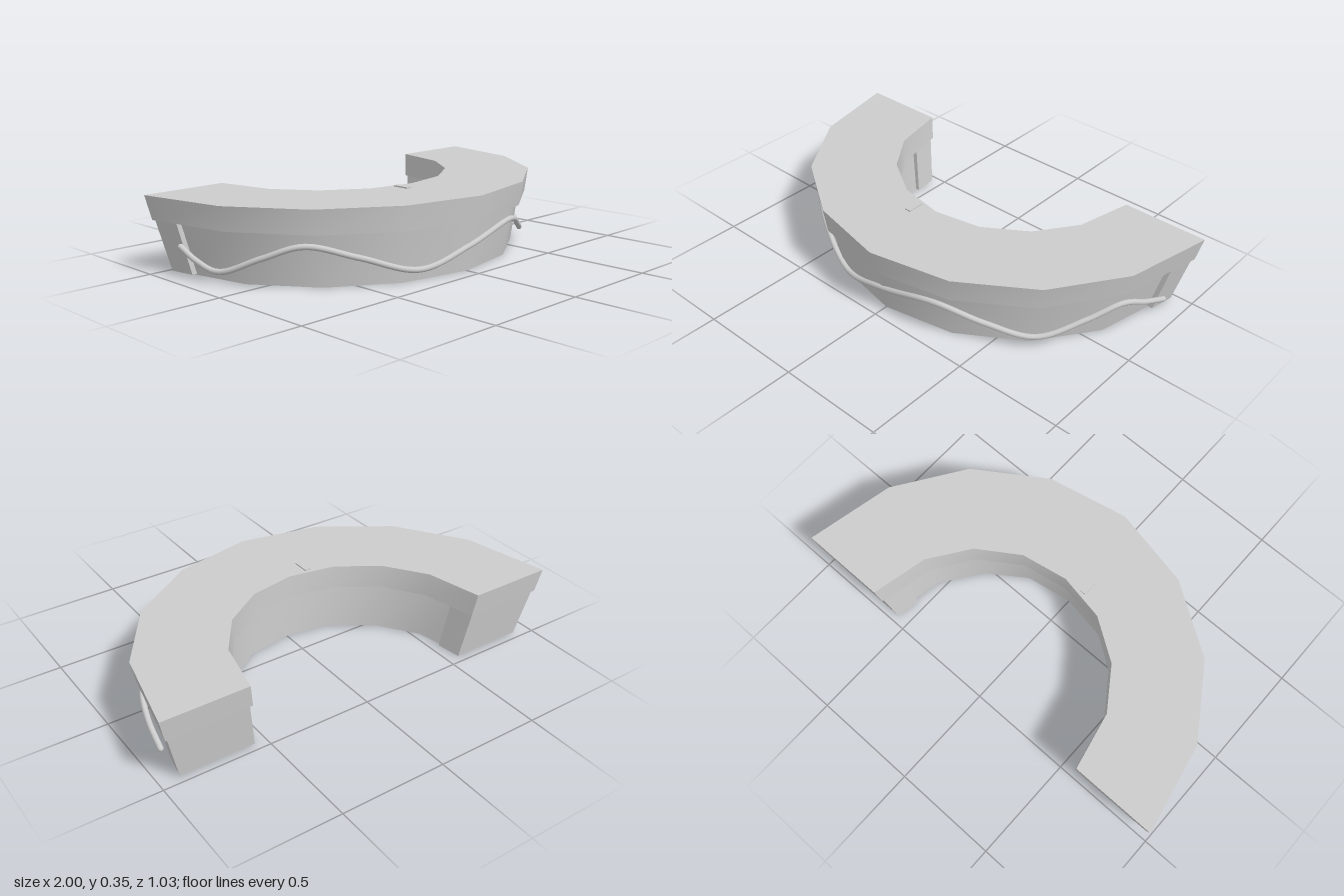
import * as THREE from 'three';
import { toCreasedNormals } from 'three/addons/utils/BufferGeometryUtils.js';

const TOP = 0.345, RIM = 0.235;

// Mirror a half outline (right end to centre) into a full path from -x to +x
function fullPath(half) {
  return [...half.map(([x, z]) => [-x, z]), ...half.slice(0, -1).reverse()];
}

// Skin a row of cross-sections; closed sections also get end caps
function loft(sections, closed) {
  const pos = [];
  const tri = (...pts) => pts.forEach((p) => pos.push(...p));
  const n = sections[0].length;
  for (let i = 0; i < sections.length - 1; i++) {
    for (let j = 0; j < (closed ? n : n - 1); j++) {
      const k = (j + 1) % n;
      const a = sections[i][j], b = sections[i + 1][j];
      const c = sections[i + 1][k], d = sections[i][k];
      tri(a, b, c);
      tri(a, c, d);
    }
  }
  if (closed) {
    const s = sections[0], e = sections[sections.length - 1];
    tri(s[0], s[1], s[2]);
    tri(s[0], s[2], s[3]);
    tri(e[0], e[2], e[1]);
    tri(e[0], e[3], e[2]);
  }
  const geo = new THREE.BufferGeometry();
  geo.setAttribute('position', new THREE.Float32BufferAttribute(pos, 3));
  return toCreasedNormals(geo, 0.7);
}

// Place a plan point at height y, scaled towards the centre axis
const at = ([x, z], y, s = 1) => [x * s, y, z * s];

// Four-cornered sections between an outer and inner path, tapering downwards
function taperedSections(outer, inner, yTop, yBottom, s) {
  return outer.map((o, i) => [
    at(o, yTop), at(inner[i], yTop), at(inner[i], yBottom, s), at(o, yBottom, s),
  ]);
}

export function createModel() {
  const group = new THREE.Group();
  const grey = new THREE.MeshStandardMaterial({ color: 0xcccccc });
  const thin = new THREE.MeshStandardMaterial({ color: 0xcccccc, side: THREE.DoubleSide });
  const add = (name, geo, mat = grey) => {
    const mesh = new THREE.Mesh(geo, mat);
    mesh.name = name;
    group.add(mesh);
    return mesh;
  };

  // Curved counter top
  const topOuter = fullPath([[1, -0.515], [0.915, -0.1], [0.7, 0.22], [0.38, 0.432], [0, 0.512]]);
  const topInner = fullPath([[0.597, -0.515], [0.54, -0.25], [0.41, -0.065], [0.22, 0.06], [0, 0.1]]);
  add('counterTop', loft(taperedSections(topOuter, topInner, TOP, RIM, 0.975), true));

  // Outer and inner walls of the hollow base, open underneath
  const wallOuter = fullPath([[0.937, -0.45], [0.86, -0.09], [0.655, 0.2], [0.355, 0.392], [0, 0.46]]);
  const wallInner = fullPath([[0.615, -0.45], [0.57, -0.23], [0.43, -0.035], [0.235, 0.1], [0, 0.14]]);
  add('outerWall', loft(wallOuter.map((p) => [at(p, 0, 0.937), at(p, RIM)]), false), thin);
  add('innerWall', loft(wallInner.map((p) => [at(p, RIM), at(p, 0, 0.937)]), false), thin);

  // Tapered blocks closing both ends
  for (const side of [-1, 1]) {
    const outer = [[0.965 * side, -0.495], [0.942 * side, -0.37]];
    const inner = [[0.592, -0.495], [0.575, -0.37]].map(([x, z]) => [x * side, z]);
    if (side > 0) {
      outer.reverse();
      inner.reverse();
    }
    add(side > 0 ? 'leftEndBlock' : 'rightEndBlock',
      loft(taperedSections(outer, inner, RIM, 0.005, 0.942), true));
  }

  // Wavy cable wrapped round the front
  const cable = [
    [-0.945, 0.14, -0.34], [-0.925, 0.09, -0.26], [-0.9, 0.06, -0.14], [-0.81, 0.13, 0.03],
    [-0.7, 0.185, 0.17], [-0.52, 0.13, 0.3], [-0.27, 0.052, 0.405], [0, 0.115, 0.446],
    [0.3, 0.185, 0.428], [0.49, 0.115, 0.325], [0.66, 0.06, 0.2], [0.79, 0.12, 0.03],
    [0.878, 0.175, -0.11], [0.915, 0.13, -0.23], [0.93, 0.078, -0.355],
  ].map((p) => new THREE.Vector3(...p));
  const R = 0.013;
  add('cable', new THREE.TubeGeometry(new THREE.CatmullRomCurve3(cable), 120, R, 10));
  for (const end of [cable[0], cable[cable.length - 1]]) {
    add('cableEnd', new THREE.SphereGeometry(R, 10, 8)).position.copy(end);
  }

  // Small flat plate on the counter
  add('plate', new THREE.BoxGeometry(0.03, 0.006, 0.08)).position.set(-0.1, TOP + 0.003, 0.14);

  return group;
}
